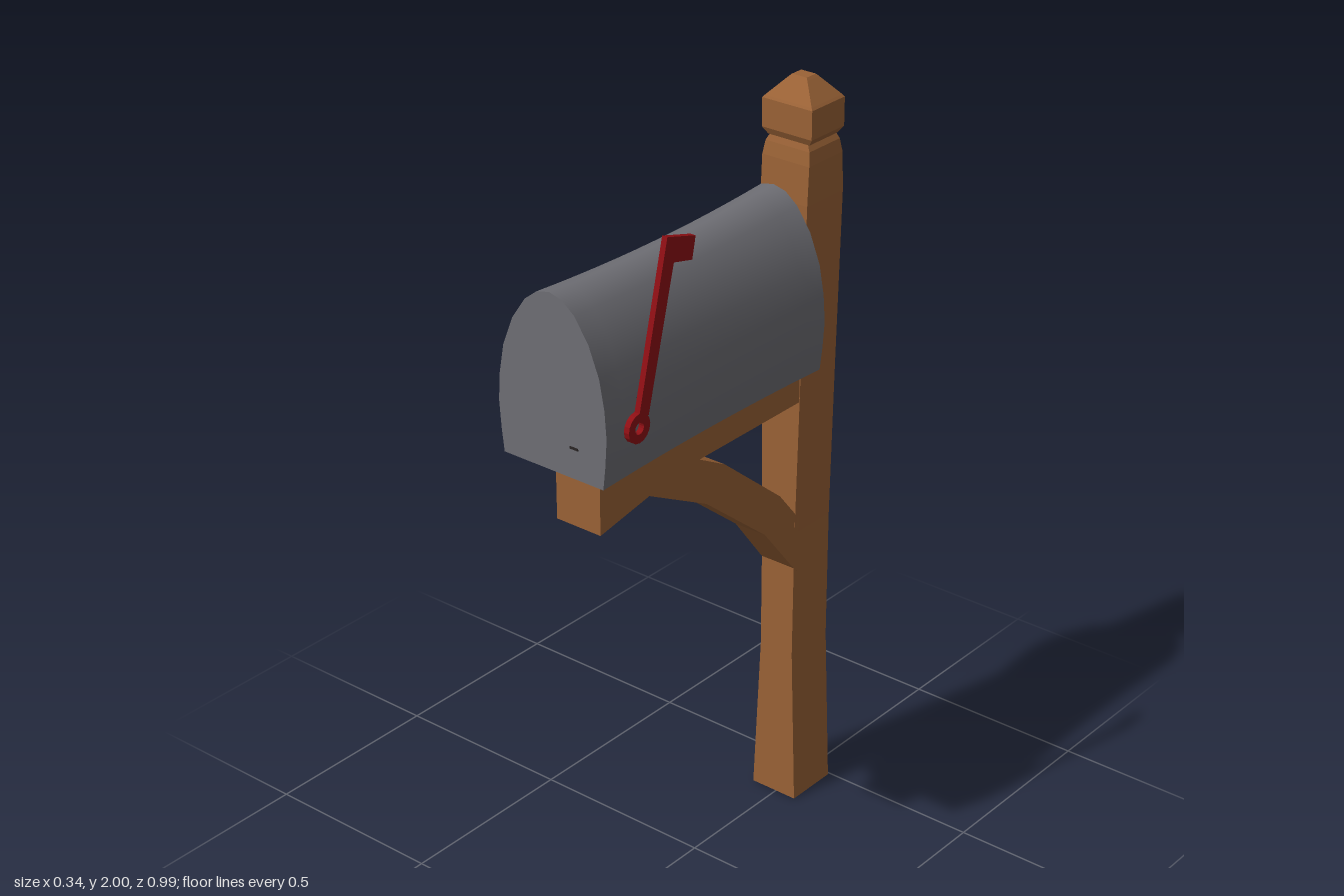
import * as THREE from 'three';

const CX = -0.008; // shared centre line of post, arm and box

const material = (name, color, side = THREE.FrontSide) => {
  const m = new THREE.MeshStandardMaterial({ color, side });
  m.name = name;
  return m;
};

// Skin a list of equal-length rings; optional closing and end caps.
function loft(rings, { closed = true, caps = true, flat = true } = {}) {
  const n = rings[0].length, index = [];
  const last = (rings.length - 1) * n;
  for (let i = 0; i < rings.length - 1; i++) {
    for (let j = 0; j < (closed ? n : n - 1); j++) {
      const a = i * n + j, b = i * n + (j + 1) % n;
      index.push(a, b, b + n, a, b + n, a + n);
    }
  }
  if (caps) {
    for (let k = 1; k < n - 1; k++) {
      index.push(0, k + 1, k, last, last + k, last + k + 1);
    }
  }
  let geo = new THREE.BufferGeometry();
  geo.setAttribute('position', new THREE.Float32BufferAttribute(rings.flat(2), 3));
  geo.setIndex(index);
  if (flat) geo = geo.toNonIndexed();
  geo.computeVertexNormals();
  return geo;
}

// Square-section column from [y, half width, half depth] stations.
const column = (stations, z) => loft(stations.map(([y, w, d]) => [
  [CX + w, y, z + d], [CX + w, y, z - d], [CX - w, y, z - d], [CX - w, y, z + d],
]));

// Beam running along z from [bottom z, bottom y, top z, top y, half width] stations.
const beam = (stations) => loft(stations.map(([zb, yb, zt, yt, w]) => [
  [CX + w, yb, zb], [CX + w, yt, zt], [CX - w, yt, zt], [CX - w, yb, zb],
]));

export function createModel() {
  const group = new THREE.Group();
  const wood = material('wood', 0x9a6236);
  const metal = material('greyMetal', 0x6e6e74, THREE.DoubleSide);
  const dark = material('darkMetal', 0x2a2525, THREE.DoubleSide);
  const red = material('flagRed', 0x8f0f14);

  const add = (name, geo, mat, parent = group) => {
    const mesh = new THREE.Mesh(geo, mat);
    mesh.name = name;
    parent.add(mesh);
    return mesh;
  };

  // Post with a pinched waist, and its cap
  const postZ = -0.418;
  add('post', column([
    [0, 0.069, 0.075], [0.44, 0.051, 0.073], [0.8, 0.052, 0.072], [1.2, 0.06, 0.071],
    [1.7, 0.071, 0.071], [1.8, 0.071, 0.066], [1.835, 0.066, 0.06], [1.85, 0.058, 0.055],
  ], postZ), wood);
  add('postCap', column([
    [1.85, 0.062, 0.055], [1.868, 0.075, 0.064], [1.942, 0.075, 0.064],
    [1.948, 0.07, 0.06], [1.994, 0.028, 0.023], [2.0, 0.022, 0.018],
  ], postZ), wood);

  // Arm that carries the box
  add('arm', beam([
    [-0.36, 1.175, -0.36, 1.3, 0.058], [0.06, 1.175, 0.06, 1.307, 0.06],
    [0.22, 1.16, 0.22, 1.309, 0.064], [0.415, 1.128, 0.415, 1.31, 0.067],
  ]), wood);

  // Curved brace
  add('brace', beam([
    [-0.36, 0.685, -0.36, 0.845, 0.053], [-0.345, 0.7, -0.345, 0.86, 0.052],
    [-0.23, 0.845, -0.29, 0.93, 0.047], [0, 1.03, -0.07, 1.11, 0.045],
    [0.25, 1.16, 0.05, 1.175, 0.045],
  ]), wood);

  // Mailbox: arched section that narrows slightly in the middle
  const box = new THREE.Group();
  box.name = 'mailbox';
  group.add(box);
  const half = [[0.15, 1.31], [0.157, 1.37], [0.162, 1.44], [0.157, 1.51], [0.143, 1.585],
    [0.113, 1.66], [0.073, 1.718], [0.037, 1.746]];
  const section = [...half, [0, 1.755], ...half.map(([x, y]) => [-x, y]).reverse()];
  const back = -0.305, front = 0.497;
  const sectionAt = (t) => {
    const pinch = 1 - (2 * t - 1) ** 2;
    return section.map(([x, y]) => [
      CX + x * (1 - 0.075 * pinch), 1.31 + (y - 1.31) * (1 - 0.03 * pinch), back + t * (front - back),
    ]);
  };
  const rings = Array.from({ length: 13 }, (_, i) => sectionAt(i / 12));
  const open = { closed: false, caps: false };
  add('boxShell', loft(rings, { ...open, flat: false }), metal, box);
  add('boxFloor', loft(rings.map((r) => [r[r.length - 1], r[0]]), open), dark, box);
  const endShape = new THREE.Shape(section.map(([x, y]) => new THREE.Vector2(x, y)));
  add('boxDoor', new THREE.ShapeGeometry(endShape), metal, box).position.set(CX, 0, front);
  const rear = add('boxBack', new THREE.ShapeGeometry(endShape), dark, box);
  rear.position.set(CX, 0, back);
  rear.rotation.y = Math.PI;
  add('doorCatch', new THREE.BoxGeometry(0.024, 0.006, 0.004), dark, box).position.set(0.057, 1.388, front);

  // Signal flag, drawn in (-z, y) and turned to face the side
  const flag = new THREE.Group();
  flag.name = 'signalFlag';
  flag.position.x = 0.153;
  flag.rotation.y = Math.PI / 2;
  group.add(flag);
  const plate = (shape) => new THREE.ExtrudeGeometry(shape, { depth: 0.015, bevelEnabled: false, curveSegments: 8 });
  const blade = [[-0.402, 1.462], [-0.368, 1.458], [-0.278, 1.8], [-0.214, 1.785], [-0.202, 1.84], [-0.3, 1.868]];
  add('flagBlade', plate(new THREE.Shape(blade.map(([x, y]) => new THREE.Vector2(x, y)))), red, flag);
  const ring = new THREE.Shape().absarc(-0.4, 1.436, 0.037, 0, Math.PI * 2);
  ring.holes.push(new THREE.Path().absarc(-0.4, 1.436, 0.015, 0, Math.PI * 2, true));
  add('flagPivot', plate(ring), red, flag);

  // Bracket and pin holding the flag to the box
  add('flagBracket', new THREE.BoxGeometry(0.02, 0.045, 0.03), dark).position.set(0.143, 1.478, 0.367);
  const pin = add('flagPin', new THREE.CylinderGeometry(0.012, 0.012, 0.02, 8), dark);
  pin.position.set(0.148, 1.41, 0.4);
  pin.rotation.z = Math.PI / 2;

  return group;
}
